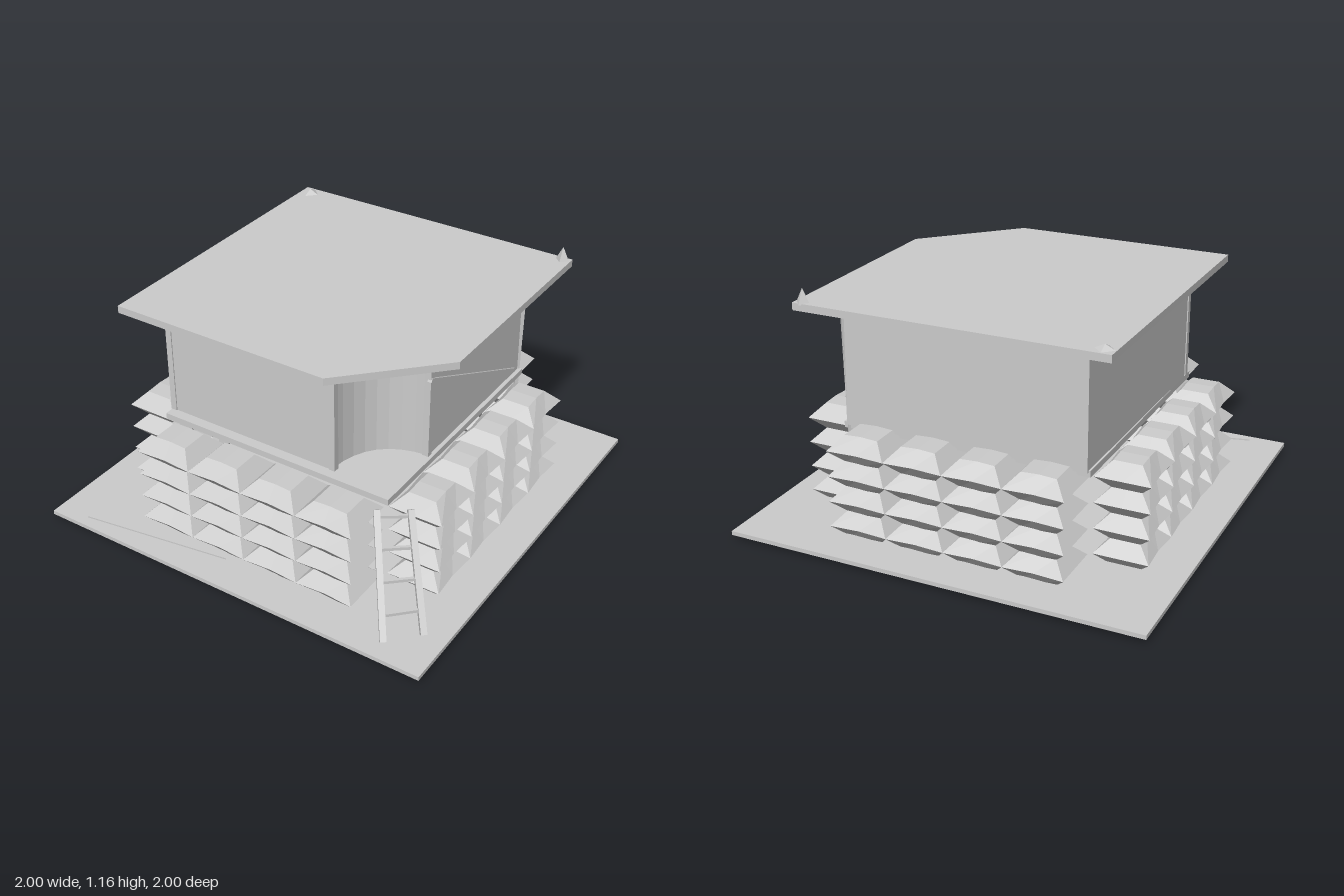
import * as THREE from 'three';

const material = new THREE.MeshStandardMaterial({ color: 0xcccccc, flatShading: true, side: THREE.DoubleSide });

function add(parent, name, geometry, x = 0, y = 0, z = 0) {
  const mesh = new THREE.Mesh(geometry, material);
  mesh.name = name;
  mesh.position.set(x, y, z);
  parent.add(mesh);
  return mesh;
}

// Horizontal slab from a plan outline of [x, z] points
function slab(points, y0, y1) {
  const shape = new THREE.Shape(points.map(([x, z]) => new THREE.Vector2(x, -z)));
  const g = new THREE.ExtrudeGeometry(shape, { depth: y1 - y0, bevelEnabled: false });
  return g.rotateX(-Math.PI / 2).translate(0, y0, 0);
}

// Square bar between two points
function bar(parent, name, a, b, width, depth = width) {
  const from = new THREE.Vector3(...a), to = new THREE.Vector3(...b);
  const mesh = add(parent, name, new THREE.BoxGeometry(width, depth, from.distanceTo(to)));
  mesh.position.copy(from).add(to).multiplyScalar(0.5);
  mesh.lookAt(to);
  return mesh;
}

// Faceted bag: full outline at mid height, pulled in at top and bottom
function bagGeometry() {
  const g = new THREE.BoxGeometry(0.285, 0.14, 0.24, 2, 2, 2);
  const p = g.attributes.position;
  for (let i = 0; i < p.count; i++) {
    const x = p.getX(i), y = p.getY(i), z = p.getZ(i);
    const level = Math.abs(y) > 0.01, end = Math.abs(x) > 0.1;
    if (level) {
      p.setX(i, x * 0.58);
      p.setZ(i, z * 0.55);
      if (end) p.setY(i, y * 0.93);
    } else if (end) {
      p.setZ(i, z * 1.08);
    }
  }
  g.computeVertexNormals();
  return g;
}

export function createModel() {
  const model = new THREE.Group();
  model.name = 'guardPost';

  // Thin ground plate, its underside bulging slightly
  const ground = new THREE.BoxGeometry(2, 0.02, 2, 6, 1, 6);
  const gp = ground.attributes.position;
  for (let i = 0; i < gp.count; i++) {
    if (gp.getY(i) < 0) {
      const edge = Math.max(Math.abs(gp.getX(i)), Math.abs(gp.getZ(i)));
      gp.setY(i, -0.01 - 0.023 * Math.min(1, (1 - edge) * 2));
    }
  }
  ground.computeVertexNormals();
  add(model, 'groundPlate', ground, 0, 0.033, 0);

  // Four sandbag walls with open corners
  const bag = bagGeometry();
  for (let side = 0; side < 4; side++) {
    const wall = new THREE.Group();
    wall.name = 'sandbagWall';
    wall.rotation.y = side * Math.PI / 2;
    for (let row = 0; row < 4; row++) {
      for (let col = 0; col < 4; col++) {
        add(wall, 'sandbag', bag, (col - 1.5) * 0.285, 0.093 + row * 0.123, 0.715);
      }
    }
    model.add(wall);
  }

  // Cabin floor and body with a concave doorway in the front left corner
  add(model, 'floor', slab([[-0.6, 0.6], [0.6, 0.6], [0.6, -0.64], [-0.6, -0.64]], 0.49, 0.52));
  const doorway = new THREE.QuadraticBezierCurve(
    new THREE.Vector2(0.28, 0.54), new THREE.Vector2(0.3, 0.25), new THREE.Vector2(0.58, 0.23));
  const outline = [[-0.59, -0.65], [-0.6, 0.55], [0.27, 0.55],
    ...doorway.getPoints(8).map(v => [v.x, v.y]), [0.58, -0.65]];
  add(model, 'cabinWalls', slab(outline, 0.51, 1.07));

  // Door jambs, corner posts and diagonal brace
  bar(model, 'doorJamb', [0.285, 0.52, 0.54], [0.285, 1.07, 0.54], 0.03);
  bar(model, 'doorJamb', [0.57, 0.52, 0.225], [0.57, 1.07, 0.225], 0.03);
  bar(model, 'cornerPost', [-0.59, 0.52, 0.54], [-0.59, 1.07, 0.54], 0.03);
  const post = new THREE.CylinderGeometry(0.022, 0.01, 0.78, 4);
  add(model, 'rearPost', post, 0.575, 0.68, -0.635);
  bar(model, 'sideBrace', [0.58, 0.92, 0.24], [0.58, 0.54, -0.58], 0.02);

  // Flat roof with the doorway corner cut off
  add(model, 'roof', slab([[-0.73, -0.76], [-0.73, 0.71], [0.35, 0.71], [0.75, 0.3], [0.75, -0.77]], 1.065, 1.1));
  add(model, 'roofFinial', new THREE.ConeGeometry(0.035, 0.07, 4), 0.71, 1.13, -0.745);
  add(model, 'roofFinial', new THREE.ConeGeometry(0.05, 0.025, 4), -0.68, 1.11, -0.71);

  // Ladder leaning on the open corner
  const ladder = new THREE.Group();
  ladder.name = 'ladder';
  const rails = [[[0.58, 0.5, 0.66], [0.78, 0.06, 0.92]], [[0.7, 0.5, 0.58], [0.9, 0.06, 0.79]]];
  for (const [top, foot] of rails) bar(ladder, 'ladderRail', top, foot, 0.028);
  for (const t of [0.05, 0.3, 0.55, 0.8]) {
    const [a, b] = rails.map(([top, foot]) => top.map((v, i) => v + (foot[i] - v) * t));
    bar(ladder, 'ladderRung', a, b, 0.014);
  }
  model.add(ladder);

  // Low sliver of ground in front of the sandbags
  add(model, 'groundRidge', slab([[-0.83, 0.95], [-0.1, 0.84], [-0.3, 0.82]], 0.04, 0.05));
  return model;
}
